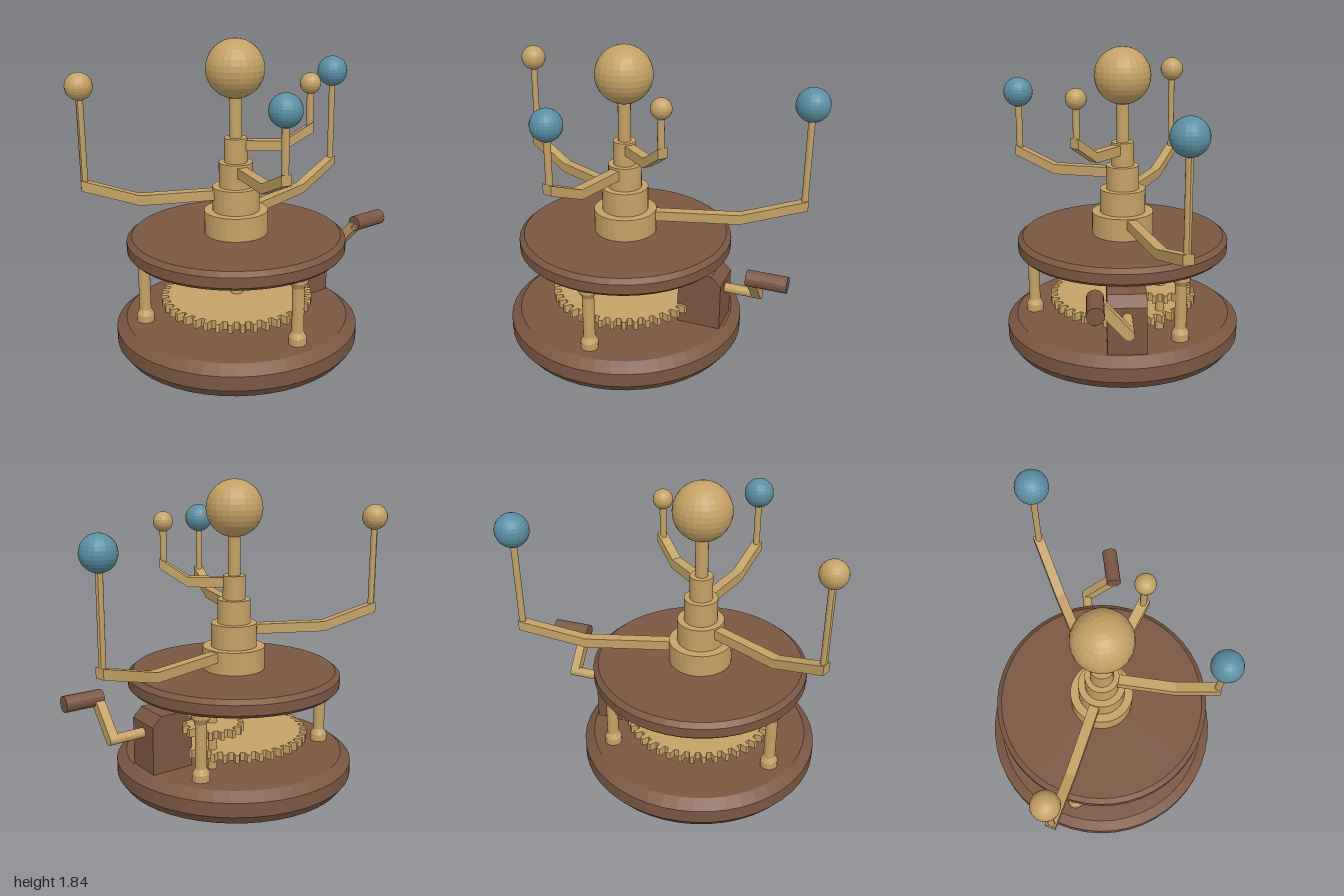
import * as THREE from 'three';

const AXIS_X = -0.14; // all the turning parts share this vertical axis

function material(name, color) {
  const m = new THREE.MeshStandardMaterial({ color, flatShading: true });
  m.name = name;
  return m;
}

export function createModel() {
  const model = new THREE.Group();
  model.name = 'planetaryMachine';
  const brass = material('brass', 0xc4a265);
  const wood = material('wood', 0x7a5742);
  const blue = material('blue', 0x5a8fa3);

  function add(name, geometry, mat, x = 0, y = 0, z = 0, parent = model) {
    const mesh = new THREE.Mesh(geometry, mat);
    mesh.name = name;
    mesh.position.set(x, y, z);
    parent.add(mesh);
    return mesh;
  }
  // upright rod between two heights
  function rod(name, r, y0, y1, x, z, sides = 16, parent = model, mat = brass) {
    return add(name, new THREE.CylinderGeometry(r, r, y1 - y0, sides), mat, x, (y0 + y1) / 2, z, parent);
  }
  function lathe(points, sides) {
    return new THREE.LatheGeometry(points.map(([r, y]) => new THREE.Vector2(r, y)), sides);
  }
  function polygon(points) {
    return new THREE.Shape(points.map(([x, y]) => new THREE.Vector2(x, y)));
  }
  function extrude(points, depth) {
    return new THREE.ExtrudeGeometry(polygon(points), { depth, bevelEnabled: false });
  }
  // flat toothed wheel lying in the xz plane, bottom at y = 0
  function gear(radius, root, teeth, thickness) {
    const points = [];
    for (let i = 0; i < teeth; i++) {
      for (const [f, r] of [[0, root], [0.14, radius], [0.46, radius], [0.6, root]]) {
        const a = ((i + f) / teeth) * Math.PI * 2;
        points.push([Math.cos(a) * r, Math.sin(a) * r]);
      }
    }
    return extrude(points, thickness).rotateX(-Math.PI / 2);
  }

  // Bevelled wooden base and upper plate
  add('base', lathe([[0, 0], [0.69, 0], [0.73, 0.055], [0.73, 0.14], [0.67, 0.187], [0, 0.187]], 48), wood, AXIS_X);
  add('upperPlate', lathe([[0, 0.595], [0.63, 0.595], [0.65, 0.615], [0.65, 0.675], [0.62, 0.7], [0, 0.7]], 48), wood, AXIS_X);

  // Turned pillars between base and plate
  const pillarProfile = [[0, 0.18], [0.052, 0.18], [0.052, 0.23], [0.035, 0.262],
    [0.035, 0.53], [0.055, 0.565], [0.055, 0.6], [0, 0.6]];
  for (const [x, z] of [[AXIS_X, 0.56], [-0.65, -0.23], [0.32, -0.32]]) {
    add('pillar', lathe(pillarProfile, 16), brass, x, 0, z);
  }

  // Gear train
  add('largeGear', gear(0.457, 0.415, 40, 0.05), brass, AXIS_X, 0.257, 0);
  add('smallGear', gear(0.183, 0.15, 16, 0.048), brass, 0.165, 0.424, -0.21);
  rod('gearShaft', 0.027, 0.18, 0.575, 0.165, -0.21);

  // Nested tubes, central shaft and central ball
  const tubes = [[0.19, 0.555, 0.84], [0.14, 0.8, 0.985], [0.1, 0.95, 1.13], [0.068, 1.1, 1.275]];
  for (const [r, y0, y1] of tubes) rod('tube', r, y0, y1, AXIS_X, 0, 32);
  rod('centralShaft', 0.038, 0.18, 1.6, AXIS_X, 0);
  add('centralBall', new THREE.SphereGeometry(0.17, 24, 16), brass, AXIS_X, 1.672, 0);

  // Bent arms, each with a post and a ball: [ball x, ball y, ball z, ball radius, arm height, colour]
  const arms = [
    [0.895, 1.528, -0.278, 0.1, 0.802, blue],
    [-0.925, 1.605, -0.37, 0.077, 0.942, brass],
    [-0.31, 1.553, 0.632, 0.089, 1.085, blue],
    [0.187, 1.59, 0.272, 0.06, 1.232, brass],
  ];
  for (const [x, ballY, z, r, y, mat] of arms) {
    const group = new THREE.Group();
    group.name = 'planetArm';
    group.position.x = AXIS_X;
    const reach = Math.hypot(x - AXIS_X, z);
    group.rotation.y = Math.atan2(-z, x - AXIS_X);
    model.add(group);
    const bend = reach * 0.65, end = reach + 0.02, rise = 0.11, h = 0.03;
    const outline = [[0.03, y - h], [bend, y - h], [end, y + rise - h],
      [end, y + rise + h], [bend, y + h], [0.03, y + h]];
    add('arm', extrude(outline, 0.06), brass, 0, 0, -0.03, group);
    rod('post', 0.02, y + rise - 0.02, ballY, reach, 0, 12, group);
    add('planet', new THREE.SphereGeometry(r, 20, 14), mat, reach, ballY, 0, group);
  }

  // Gearbox with chamfered top edges
  const box = [[0.245, 0.18], [0.51, 0.18], [0.51, 0.475], [0.452, 0.533], [0.303, 0.533], [0.245, 0.475]];
  add('gearbox', extrude(box, 0.226), wood, 0, 0, -0.113);

  // Crank: axle, slanted arm and wooden handle
  function bar(name, r, x0, x1, y, z, mat) {
    add(name, new THREE.CylinderGeometry(r, r, x1 - x0, 16), mat, (x0 + x1) / 2, y, z).rotation.z = Math.PI / 2;
  }
  bar('crankAxle', 0.03, 0.48, 0.735, 0.415, 0, brass);
  const [dy, dz] = [0.2, 0.18];
  const crankArm = add('crankArm', new THREE.BoxGeometry(0.055, Math.hypot(dy, dz), 0.06), brass, 0.7075, 0.415 + dy / 2, dz / 2);
  crankArm.rotation.x = Math.atan2(dz, dy);
  bar('crankHandle', 0.048, 0.68, 0.915, 0.615, 0.18, wood);

  return model;
}
